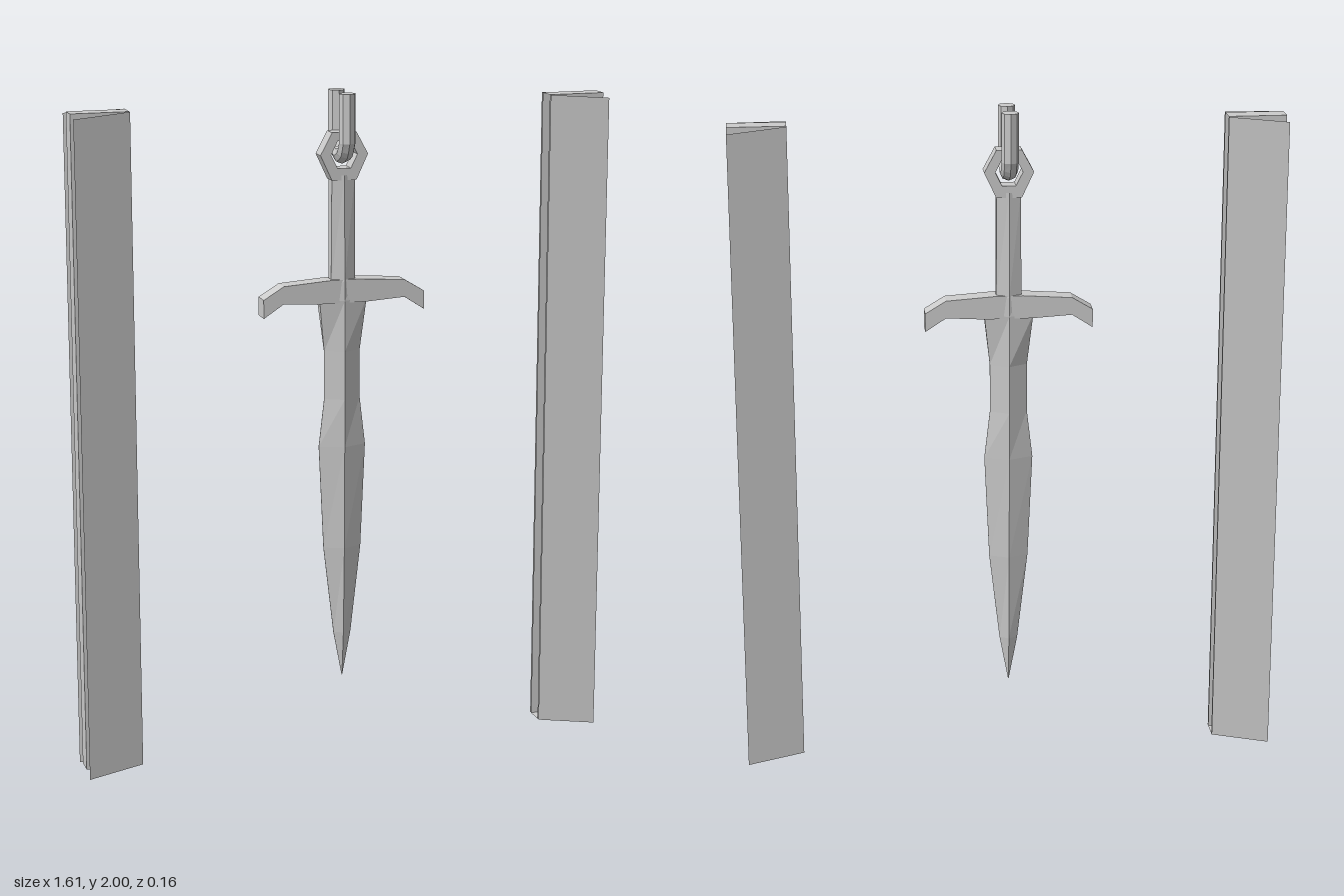
import * as THREE from 'three';

const material = new THREE.MeshStandardMaterial({
  color: 0xcccccc, flatShading: true, side: THREE.DoubleSide,
});

function addMesh(parent, name, geometry) {
  const mesh = new THREE.Mesh(geometry, material);
  mesh.name = name;
  parent.add(mesh);
  return mesh;
}

// Flat quads, each given as four corners in counter-clockwise order
function quads(list) {
  const pos = [];
  for (const [a, b, c, d] of list) pos.push(...a, ...b, ...c, ...a, ...c, ...d);
  const g = new THREE.BufferGeometry();
  g.setAttribute('position', new THREE.Float32BufferAttribute(pos, 3));
  g.computeVertexNormals();
  return g;
}

// Ridged six-sided sections [y, half width, half ridge depth, half edge depth], bottom to top
function loft(sections) {
  const rings = sections.map(([y, w, d, e]) =>
    [[0, y, d], [w, y, e], [w, y, -e], [0, y, -d], [-w, y, -e], [-w, y, e]]);
  const faces = [];
  for (let s = 0; s < rings.length - 1; s++) {
    for (let i = 0; i < 6; i++) {
      const j = (i + 1) % 6;
      faces.push([rings[s][i], rings[s][j], rings[s + 1][j], rings[s + 1][i]]);
    }
  }
  return quads(faces);
}

// Outline extruded symmetrically about z = 0
function slab(points, depth, hole) {
  const shape = new THREE.Shape(points.map(([x, y]) => new THREE.Vector2(x, y)));
  if (hole) shape.holes.push(new THREE.Path(hole.map(([x, y]) => new THREE.Vector2(x, y))));
  const g = new THREE.ExtrudeGeometry(shape, { depth, bevelEnabled: false });
  return g.translate(0, 0, -depth / 2);
}

const mirrorX = (pts) => [...pts, ...pts.slice().reverse().map(([x, y]) => [-x, y])];

function createDagger() {
  const dagger = new THREE.Group();
  dagger.name = 'dagger';

  // Leaf-shaped blade with a central ridge
  addMesh(dagger, 'blade', loft([
    [0.22, 0.001, 0.001, 0],
    [0.36, 0.027, 0.016, 0.001],
    [0.63, 0.058, 0.026, 0.001],
    [0.945, 0.072, 0.03, 0.001],
    [1.09, 0.055, 0.03, 0.001],
    [1.235, 0.055, 0.03, 0.001],
    [1.39, 0.072, 0.032, 0.014],
    [1.45, 0.038, 0.03, 0.014],
  ]));

  // Crossguard with drooping ends
  addMesh(dagger, 'crossguard', slab(mirrorX([
    [0.04, 1.452], [0.185, 1.442], [0.246, 1.405], [0.246, 1.35], [0.185, 1.39], [0.07, 1.383],
  ]), 0.056));

  // Grip
  addMesh(dagger, 'grip', loft([
    [1.445, 0.037, 0.03, 0.014],
    [1.76, 0.035, 0.028, 0.016],
  ]));

  // Hexagonal pommel ring
  addMesh(dagger, 'pommelRing',
    slab(mirrorX([[0.037, 1.885], [0.072, 1.82], [0.037, 1.745]]), 0.05,
      mirrorX([[0.02, 1.86], [0.04, 1.82], [0.02, 1.78]])));

  // U-shaped link passing through the ring
  const path = new THREE.CurvePath();
  const pts = [[2.0, 0.053], [1.855, 0.053], [1.825, 0.032], [1.815, 0]];
  const all = [...pts, ...pts.slice(0, 3).reverse().map(([y, z]) => [y, -z])]
    .map(([y, z]) => new THREE.Vector3(0, y, z));
  for (let i = 0; i < all.length - 1; i++) path.add(new THREE.LineCurve3(all[i], all[i + 1]));
  addMesh(dagger, 'link', new THREE.TubeGeometry(path, 24, 0.025, 8));
  for (const z of [-0.053, 0.053]) {
    const cap = addMesh(dagger, 'linkEnd', new THREE.CircleGeometry(0.025, 8));
    cap.rotation.x = -Math.PI / 2;
    cap.position.set(0, 2.0, z);
  }
  return dagger;
}

function createPanel(side) {
  const panel = new THREE.Group();
  panel.name = side > 0 ? 'leftPanel' : 'rightPanel';
  const [xi, xo, y0, y1, d] = [0.633 * side, 0.803 * side, 0.015, 1.97, 0.028];

  // Hollow board, open along its inner edge
  const c = (x, y, z) => [x, y, z];
  const faces = [
    [c(xi, y0, d), c(xo, y0, d), c(xo, y1, d), c(xi, y1, d)],
    [c(xo, y0, -d), c(xi, y0, -d), c(xi, y1, -d), c(xo, y1, -d)],
    [c(xo, y0, d), c(xo, y0, -d), c(xo, y1, -d), c(xo, y1, d)],
    [c(xi, y1, d), c(xo, y1, d), c(xo, y1, -d), c(xi, y1, -d)],
    [c(xi, y0, -d), c(xo, y0, -d), c(xo, y0, d), c(xi, y0, d)],
  ];
  addMesh(panel, 'board', quads(side > 0 ? faces : faces.map((f) => f.slice().reverse())));

  // Thin covers splaying away from the board toward the outer edge
  for (const f of [1, -1]) {
    const cover = [
      c(xi, y0, 0.036 * f), c(xo, 0, 0.074 * f), c(xo, 1.96, 0.074 * f), c(xi, y1, 0.036 * f),
    ];
    addMesh(panel, f > 0 ? 'frontCover' : 'backCover',
      quads([side * f > 0 ? cover : cover.reverse()]));
  }
  return panel;
}

export function createModel() {
  const model = new THREE.Group();
  model.name = 'daggerWithPanels';
  model.add(createDagger(), createPanel(1), createPanel(-1));
  return model;
}
